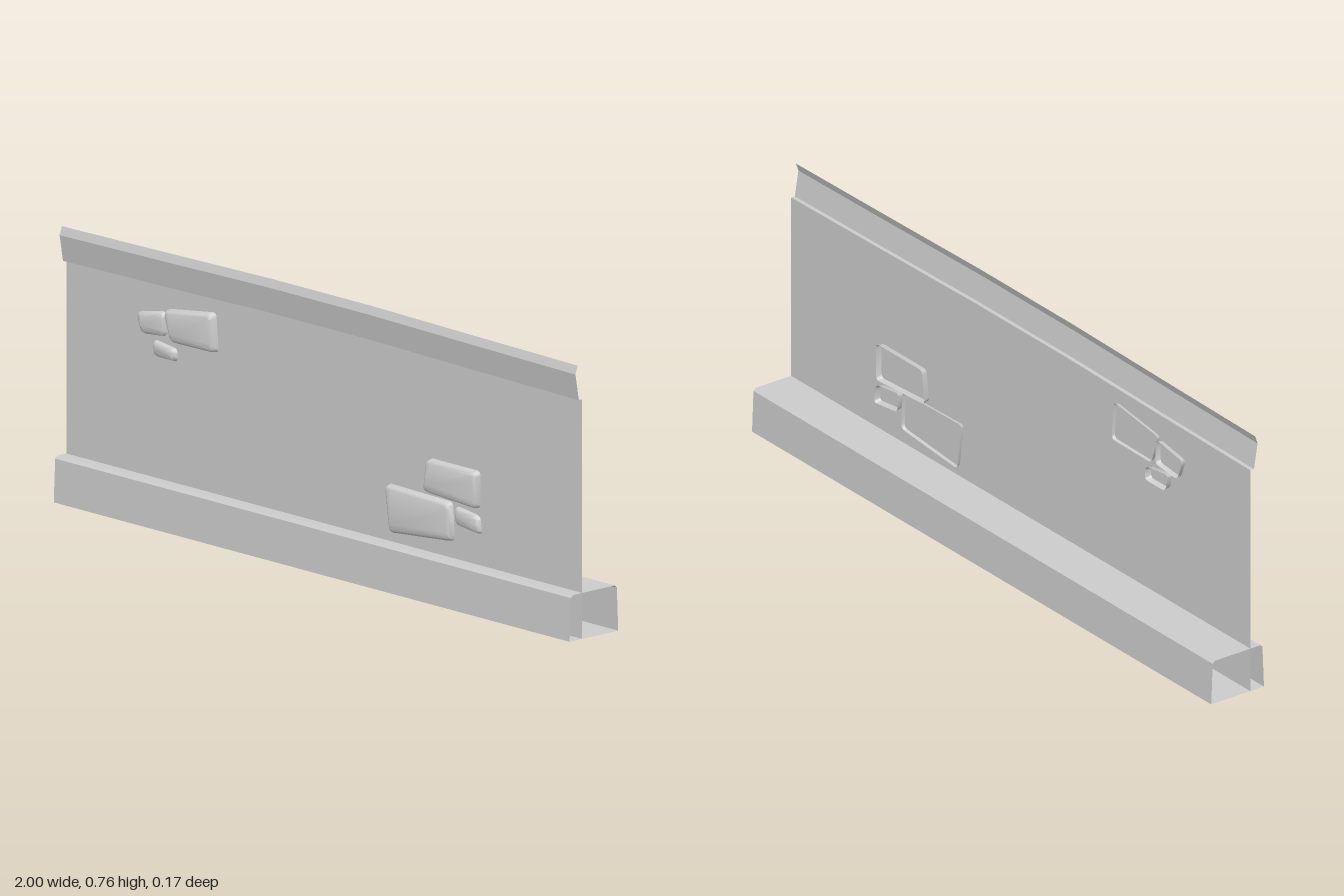
import * as THREE from 'three';
import { toCreasedNormals } from 'three/addons/utils/BufferGeometryUtils.js';

const flat = new THREE.MeshStandardMaterial({ color: 0xcccccc, flatShading: true, side: THREE.DoubleSide });
const smooth = new THREE.MeshStandardMaterial({ color: 0xcccccc, side: THREE.DoubleSide });

// Skin between rings of [x, y, z] points; closed joins the last point to the first
function loft(rings, closed, cap) {
  const n = rings[0].length, index = [];
  for (let r = 0; r < rings.length - 1; r++) {
    for (let i = 0; i < (closed ? n : n - 1); i++) {
      const a = r * n + i, b = r * n + (i + 1) % n;
      index.push(a, b, b + n, a, b + n, a + n);
    }
  }
  const pts = rings.flat();
  if (cap) {
    const o = (rings.length - 1) * n;
    for (let i = 1; i < n - 1; i++) index.push(o, o + i, o + i + 1);
  }
  const g = new THREE.BufferGeometry();
  g.setAttribute('position', new THREE.Float32BufferAttribute(pts.flat(), 3));
  g.setIndex(index);
  g.computeVertexNormals();
  return g;
}

// Gentle rise of the wall's top towards the middle, in five straight spans
const stations = [[-1, 0], [-0.6, 0.005], [-0.2, 0.011], [0.2, 0.011], [0.6, 0.005], [1, 0]];

// Sweep a [z, y] profile along x; points above the base follow the rise
function sweep(profile, closed) {
  return loft(stations.map(([x, rise]) =>
    profile.map(([z, y]) => [x, y > 0.2 ? y + rise : y, z])), closed, false);
}

// Quad outline (counter-clockwise) with rounded corners, moved inwards by inset
function roundedQuad(quad, inset, z) {
  const p = quad.map(c => new THREE.Vector2(...c));
  const unit = (a, b) => b.clone().sub(a).normalize();
  const corners = p.map((c, i) => {
    const d0 = unit(p[(i + 3) % 4], c), d1 = unit(c, p[(i + 1) % 4]);
    const s = inset / Math.max(0.3, d0.cross(d1));
    return c.clone().addScaledVector(d1, s).addScaledVector(d0, -s);
  });
  const out = [], radius = 0.014;
  corners.forEach((c, i) => {
    const a = c.clone().addScaledVector(unit(c, corners[(i + 3) % 4]), radius);
    const b = c.clone().addScaledVector(unit(c, corners[(i + 1) % 4]), radius);
    const curve = new THREE.QuadraticBezierCurve(a, c, b);
    curve.getPoints(4).forEach(v => out.push([v.x, v.y, z]));
  });
  return out;
}

// Raised stone: hollow shell, open at the back, with a softened front edge
function stone(quad, back, front) {
  const rings = [[0, back], [0.004, front - 0.009], [0.007, front - 0.003], [0.013, front]]
    .map(([inset, z]) => roundedQuad(quad, inset, z));
  return toCreasedNormals(loft(rings, true, true), 0.7);
}

export function createModel() {
  const model = new THREE.Group();
  const add = (name, geometry, material) => {
    const mesh = new THREE.Mesh(geometry, material);
    mesh.name = name;
    model.add(mesh);
  };

  // Thin wall sheet, running down inside the base
  add('wall', sweep([[0.042, 0], [0.042, 0.65]], false), flat);

  // Coping: a ledge, an outward lean and a lip turned back
  add('coping', sweep([[0.042, 0.65], [0.054, 0.65], [0.066, 0.722], [0.058, 0.745]], false), flat);

  // Hollow plinth with open ends and small bevels
  add('base', sweep([[-0.087, 0], [0.087, 0], [0.082, 0.118], [0.075, 0.125],
    [-0.075, 0.125], [-0.082, 0.118]], true), flat);

  // Two clusters of stones: corners from lower left, then back and front depth
  const stones = [
    [[[-0.58, 0.506], [-0.407, 0.508], [-0.417, 0.62], [-0.61, 0.594]], 0.033, 0.065],
    [[[-0.70, 0.506], [-0.605, 0.515], [-0.607, 0.588], [-0.723, 0.568]], 0.028, 0.058],
    [[[-0.653, 0.453], [-0.563, 0.453], [-0.565, 0.493], [-0.663, 0.505]], 0.025, 0.056],
    [[[0.396, 0.287], [0.608, 0.276], [0.608, 0.383], [0.408, 0.383]], 0.025, 0.064],
    [[[0.265, 0.149], [0.508, 0.17], [0.502, 0.279], [0.246, 0.284]], 0.033, 0.062],
    [[[0.516, 0.217], [0.618, 0.206], [0.608, 0.262], [0.508, 0.274]], 0.025, 0.056],
  ];
  stones.forEach(([quad, back, front], i) => add(`stone${i + 1}`, stone(quad, back, front), smooth));

  return model;
}
